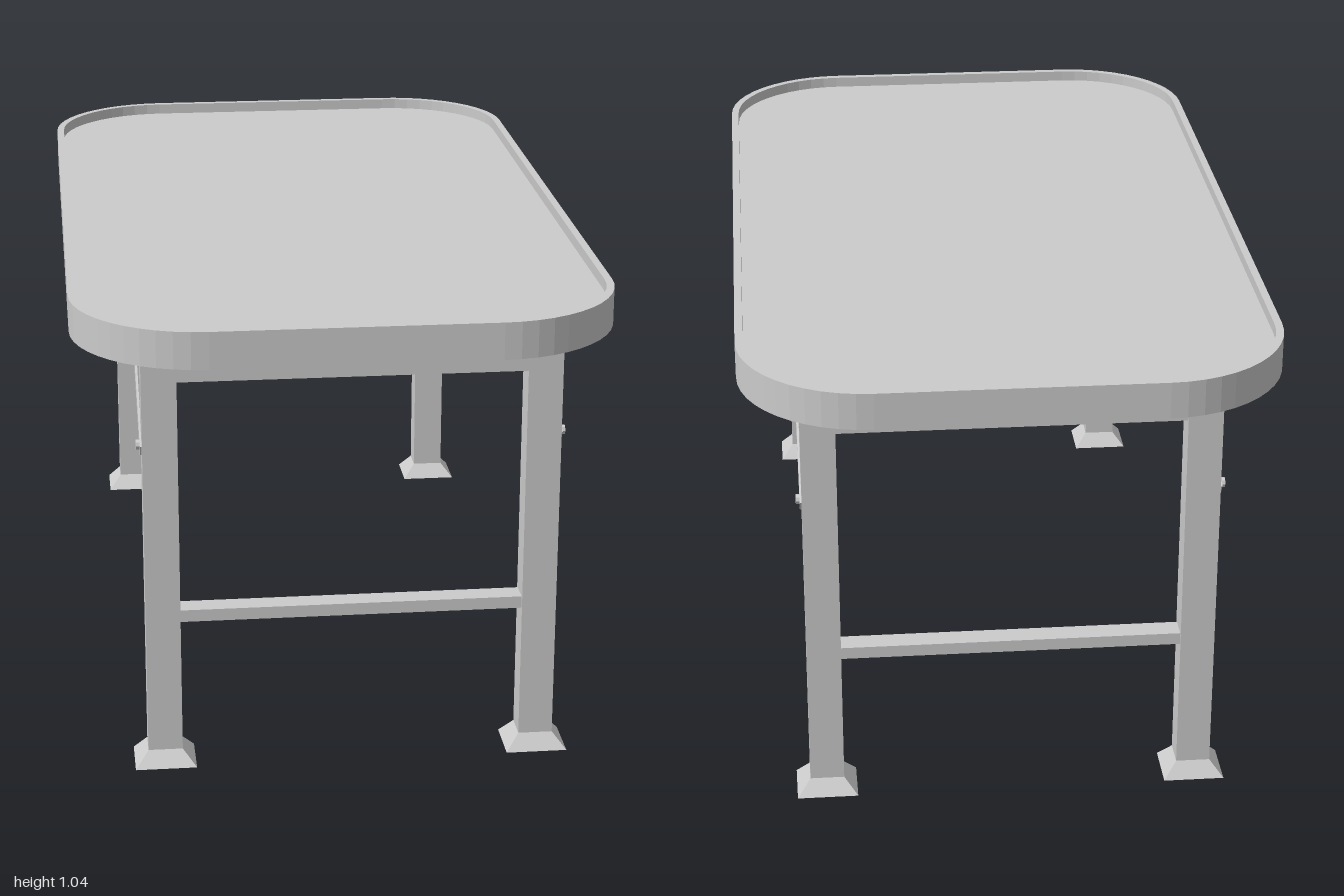
import * as THREE from 'three';

const material = new THREE.MeshStandardMaterial({ color: 0xcccccc, flatShading: true });

// Leg grid: centre offset, half spacing and post section
const CX = 0.008, LX = 0.41, LZ = 0.836, LEG_W = 0.075, LEG_D = 0.064;
const UNDERSIDE = 0.966;

function roundedOutline(Type, halfW, halfL, r) {
  const s = new Type();
  s.absarc(halfW - r, halfL - r, r, 0, Math.PI / 2);
  s.absarc(-halfW + r, halfL - r, r, Math.PI / 2, Math.PI);
  s.absarc(-halfW + r, -halfL + r, r, Math.PI, Math.PI * 1.5);
  s.absarc(halfW - r, -halfL + r, r, Math.PI * 1.5, Math.PI * 2);
  s.closePath();
  return s;
}

// Flat plate extruded upwards from y0 to y1
function plate(shape, y0, y1) {
  const g = new THREE.ExtrudeGeometry(shape, { depth: y1 - y0, bevelEnabled: false, curveSegments: 6 });
  return g.rotateX(-Math.PI / 2).translate(0, y0, 0);
}

export function createModel() {
  const model = new THREE.Group();
  model.name = 'foldingTable';

  const add = (name, geometry, x = 0, y = 0, z = 0, parent = model) => {
    const mesh = new THREE.Mesh(geometry, material);
    mesh.name = name;
    mesh.position.set(x, y, z);
    parent.add(mesh);
    return mesh;
  };
  const box = (name, w, h, d, x, y, z, parent) =>
    add(name, new THREE.BoxGeometry(w, h, d), x, y, z, parent);

  // Table top: raised rim around a recessed panel
  const rim = roundedOutline(THREE.Shape, 0.584, 1, 0.28);
  rim.holes.push(roundedOutline(THREE.Path, 0.567, 0.983, 0.263));
  add('rim', plate(rim, 0.956, 1.037));
  add('topPanel', plate(roundedOutline(THREE.Shape, 0.568, 0.984, 0.264), UNDERSIDE, 1.012));

  // Apron frame, just inside the outer faces of the legs
  const apronY = (0.884 + UNDERSIDE) / 2, apronH = UNDERSIDE - 0.884;
  for (const s of [-1, 1]) {
    box('sideApron', LEG_W - 0.004, apronH, 2 * LZ, CX + s * LX, apronY, 0);
    box('endApron', 2 * LX, apronH, LEG_D - 0.004, CX, apronY, s * LZ);
  }

  // Legs with flared square feet
  const foot = new THREE.CylinderGeometry(LEG_W * Math.SQRT1_2, 0.134 * Math.SQRT1_2, 0.035, 4, 1);
  foot.rotateY(Math.PI / 4).scale(1, 1, LEG_D / LEG_W);
  for (const sx of [-1, 1]) for (const sz of [-1, 1]) {
    const x = CX + sx * LX, z = sz * LZ;
    box('leg', LEG_W, UNDERSIDE - 0.03, LEG_D, x, (UNDERSIDE + 0.03) / 2, z);
    add('foot', foot, x, 0.0175, z);
  }

  // Cross rails: channels open underneath
  const railL = 2 * LX - LEG_W;
  for (const sz of [-1, 1]) {
    const rail = new THREE.Group();
    rail.name = 'crossRail';
    rail.position.set(CX, 0, sz * LZ);
    model.add(rail);
    box('railTop', railL, 0.006, 0.05, 0, 0.359, 0, rail);
    for (const s of [-1, 1]) box('railFlange', railL, 0.021, 0.006, 0, 0.3455, s * 0.022, rail);
  }

  // Diagonal brace straps bolted to the outside of legs and aprons
  const bolt = new THREE.CylinderGeometry(0.011, 0.011, 0.012, 8).rotateZ(Math.PI / 2);
  const ends = [
    { leg: [0.738, 0.836], apron: [0.922, 0.525] },
    { leg: [0.722, -0.842], apron: [0.922, -0.545] },
  ];
  for (const sx of [-1, 1]) for (const { leg, apron } of ends) {
    const dy = apron[0] - leg[0], dz = apron[1] - leg[1];
    const face = CX + sx * (LX + LEG_W / 2);
    const strap = box('brace', 0.005, 0.028, Math.hypot(dy, dz) + 0.036,
      face + sx * 0.0015, (leg[0] + apron[0]) / 2, (leg[1] + apron[1]) / 2);
    strap.rotation.x = -Math.atan2(dy, dz);
    for (const [y, z] of [leg, apron]) add('braceBolt', bolt, face + sx * 0.006, y, z);
  }

  return model;
}
